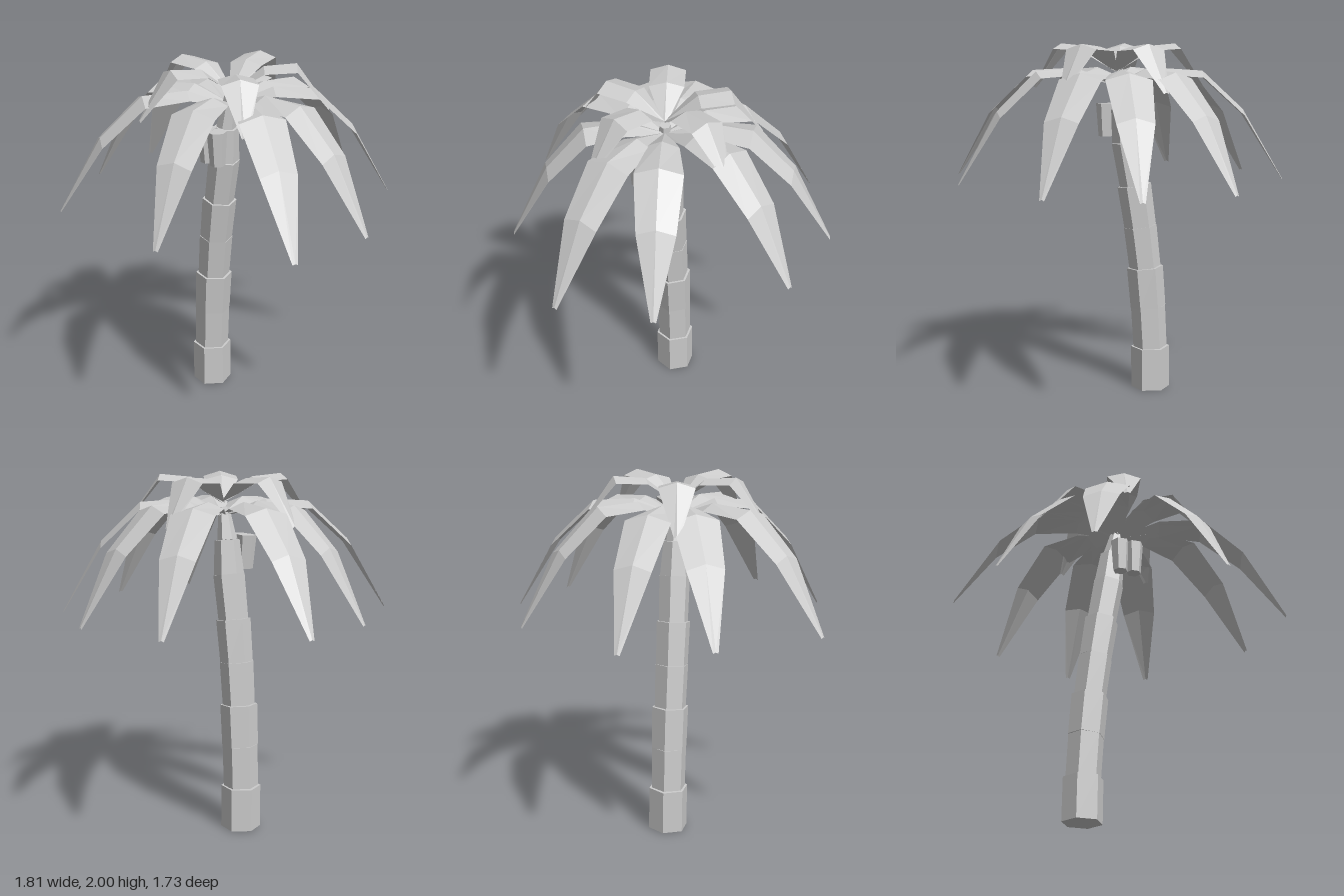
import * as THREE from 'three';

const grey = new THREE.MeshStandardMaterial({ color: 0xcccccc, flatShading: true });
grey.name = 'pale grey';
const greyLeaf = grey;
greyLeaf.side = THREE.DoubleSide;

const HUB = new THREE.Vector3(0, 0, 0.04);
const HEX_TURN = THREE.MathUtils.degToRad(75.5);

// Hexagonal tapered block between two points
function hexBlock(name, from, to, rBottom, rTop) {
  const a = new THREE.Vector3(...from), b = new THREE.Vector3(...to);
  const dir = b.clone().sub(a);
  const geo = new THREE.CylinderGeometry(rTop, rBottom, dir.length(), 6, 1, false, HEX_TURN);
  const mesh = new THREE.Mesh(geo, grey);
  mesh.name = name;
  mesh.position.copy(a).add(b).multiplyScalar(0.5);
  mesh.quaternion.setFromUnitVectors(new THREE.Vector3(0, 1, 0), dir.normalize());
  return mesh;
}

// Ridged leaf: each row is [distance from hub, ridge height, half width, edge drop]
function leaf(name, angle, stretch, rows) {
  const c = Math.cos(angle), s = Math.sin(angle);
  const positions = [], index = [];
  rows.forEach(([r, y, w, drop], i) => {
    for (const k of [-1, 0, 1]) {
      positions.push(
        HUB.x + c * r * stretch - s * w * k,
        y - drop * Math.abs(k),
        HUB.z + s * r * stretch + c * w * k);
    }
    if (i === 0) return;
    for (const k of [0, 1]) {
      const p = (i - 1) * 3 + k, q = i * 3 + k;
      index.push(p, p + 1, q + 1, p, q + 1, q);
    }
  });
  const geo = new THREE.BufferGeometry();
  geo.setAttribute('position', new THREE.Float32BufferAttribute(positions, 3));
  geo.setIndex(index);
  const flat = geo.toNonIndexed();
  flat.computeVertexNormals();
  const mesh = new THREE.Mesh(flat, greyLeaf);
  mesh.name = name;
  return mesh;
}

export function createModel() {
  const model = new THREE.Group();
  model.name = 'palmTree';

  // Bent trunk of stacked hexagonal segments
  const trunk = new THREE.Group();
  trunk.name = 'trunk';
  const joints = [
    [-0.195, 0, -0.008], [-0.193, 0.245, -0.005], [-0.181, 0.485, 0], [-0.163, 0.72, 0.006],
    [-0.136, 0.96, 0.015], [-0.102, 1.2, 0.023], [-0.06, 1.45, 0.03], [-0.04, 1.64, 0.035],
    [-0.01, 1.82, 0.04],
  ];
  const radii = [
    [0.112, 0.112], [0.098, 0.1], [0.102, 0.105], [0.091, 0.095],
    [0.092, 0.097], [0.084, 0.088], [0.085, 0.07], [0.055, 0.03],
  ];
  radii.forEach(([rb, rt], i) => {
    trunk.add(hexBlock('trunkSegment', joints[i], joints[i + 1], rb, rt));
  });
  model.add(trunk);

  // Coconuts hanging beside the trunk
  model.add(hexBlock('coconut', [-0.06, 1.47, 0.165], [-0.065, 1.66, 0.17], 0.042, 0.055));
  model.add(hexBlock('coconut', [0.02, 1.47, 0.18], [0.02, 1.66, 0.185], 0.042, 0.055));

  // Long drooping leaves, placed by their tips
  const longRows = [
    [0, 1.78, 0.02, 0.01], [0.23, 1.865, 0.09, 0.035], [0.46, 1.85, 0.125, 0.035],
    [0.68, 1.635, 0.1, 0.03], [0.9, 1.24, 0.014, 0.006],
  ];
  const tips = [
    [0.905, 0.05], [0.82, 0.55], [0.19, 0.86], [-0.58, 0.79], [-0.86, 0.23],
    [-0.9, -0.25], [-0.385, -0.785], [0.15, -0.865], [0.6, -0.63],
  ];
  for (const [x, z] of tips) {
    const dx = x - HUB.x, dz = z - HUB.z;
    model.add(leaf('longLeaf', Math.atan2(dz, dx), Math.hypot(dx, dz) / 0.9, longRows));
  }

  // Short raised leaves at the crown
  const shortRows = [
    [0, 1.85, 0.012, 0.005], [0.175, 1.985, 0.095, 0.025],
    [0.35, 2.0, 0.097, 0.03], [0.53, 1.75, 0.015, 0.008],
  ];
  for (const deg of [-102, -40, 43, 115, 180]) {
    model.add(leaf('shortLeaf', THREE.MathUtils.degToRad(deg), 1, shortRows));
  }

  return model;
}
